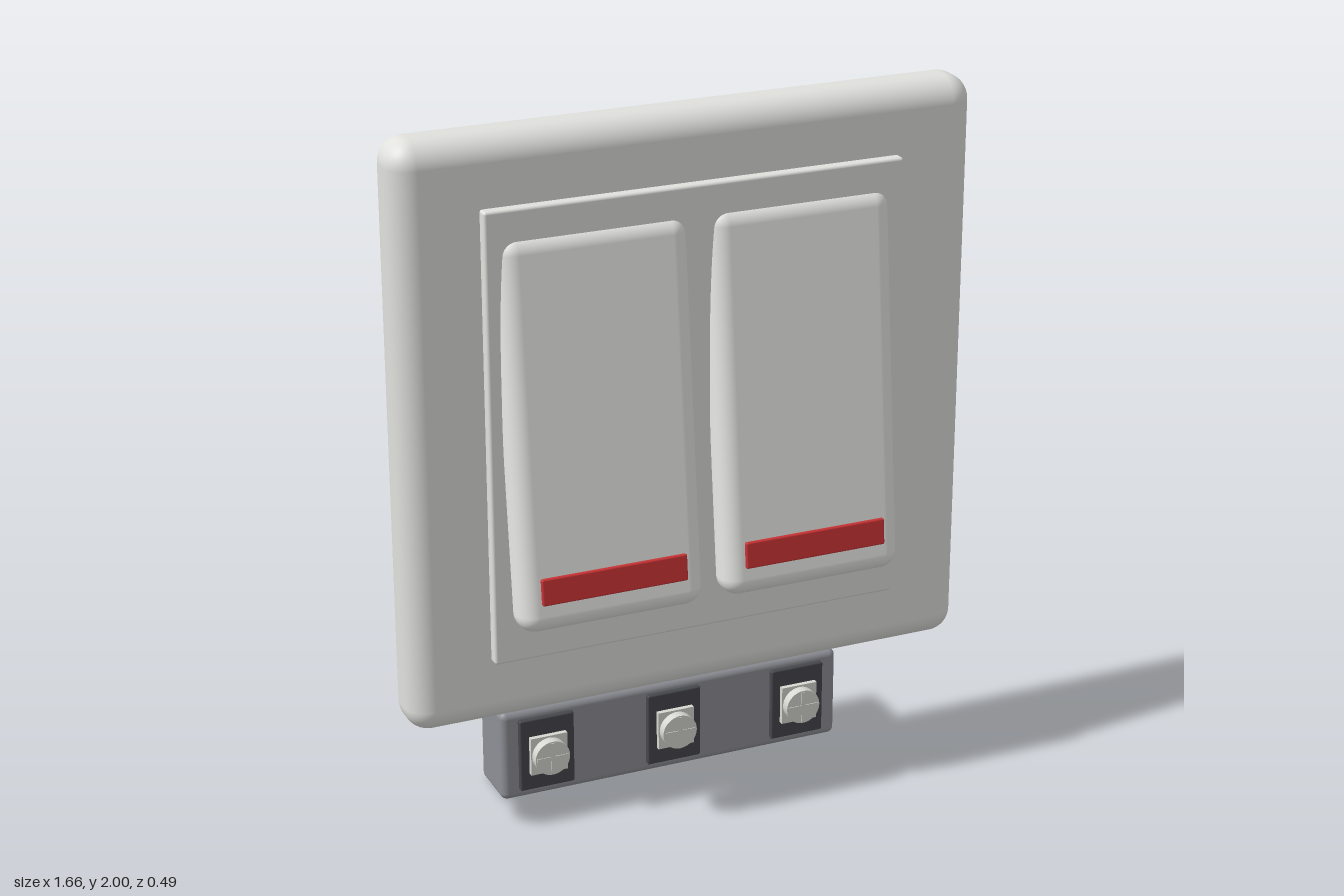
import * as THREE from 'three';
import { RoundedBoxGeometry } from 'three/addons/geometries/RoundedBoxGeometry.js';

const material = (name, color) => {
  const m = new THREE.MeshStandardMaterial({ color });
  m.name = name;
  return m;
};

export function createModel() {
  const plateWhite = material('plate white', 0xe0e0dd);
  const rockerWhite = material('rocker white', 0xe8e8e5);
  const red = material('indicator red', 0xc83234);
  const grey = material('terminal grey', 0x8e8f96);
  const dark = material('socket dark', 0x46474d);
  const metal = material('screw metal', 0xd8d8d2);

  const model = new THREE.Group();
  model.name = 'doubleSwitch';

  const add = (parent, name, geometry, mat, x, y, z) => {
    const mesh = new THREE.Mesh(geometry, mat);
    mesh.name = name;
    mesh.position.set(x, y, z);
    parent.add(mesh);
    return mesh;
  };
  const rounded = (w, h, d, r, seg = 5) => new RoundedBoxGeometry(w, h, d, seg, r);

  // Wall plate and the raised frame on it
  add(model, 'wallPlate', rounded(1.664, 1.664, 0.17, 0.07, 8), plateWhite, 0, 1.168, 0);
  add(model, 'innerFrame', rounded(1.2, 1.28, 0.06, 0.008, 3), plateWhite, 0, 1.17, 0.085);

  // Two tilted rockers, each with a red strip near the lower edge
  for (const side of [-1, 1]) {
    const rocker = new THREE.Group();
    rocker.name = side < 0 ? 'rightRocker' : 'leftRocker';
    rocker.position.set(side * 0.297, 1.192, 0.128);
    rocker.rotation.x = -0.105;
    add(rocker, 'rockerBody', rounded(0.532, 1.085, 0.115, 0.05, 7), rockerWhite, 0, 0, 0);
    add(rocker, 'indicatorStrip', rounded(0.42, 0.075, 0.03, 0.005, 2), red, 0, -0.421, 0.053);
    model.add(rocker);
  }

  // Terminal block below and behind the plate
  const terminals = new THREE.Group();
  terminals.name = 'terminalBlock';
  add(terminals, 'blockBody', rounded(1.044, 0.274, 0.172, 0.02), grey, 0, 0.137, -0.156);

  // Three recesses, each with a clamp and a cross-slotted screw
  for (const x of [-0.39, 0, 0.39]) {
    add(terminals, 'socket', rounded(0.164, 0.22, 0.03, 0.005, 2), dark, x, 0.14, -0.07);
    add(terminals, 'clamp', new THREE.BoxGeometry(0.11, 0.115, 0.025), metal, x, 0.14, -0.053);
    const head = add(terminals, 'screwHead', new THREE.CylinderGeometry(0.052, 0.052, 0.032, 32), metal, x, 0.14, -0.029);
    head.rotation.x = Math.PI / 2;
    add(terminals, 'screwCross', new THREE.BoxGeometry(0.012, 0.096, 0.004), metal, x, 0.14, -0.013);
    add(terminals, 'screwCross', new THREE.BoxGeometry(0.096, 0.012, 0.004), metal, x, 0.14, -0.013);
  }
  model.add(terminals);

  return model;
}
